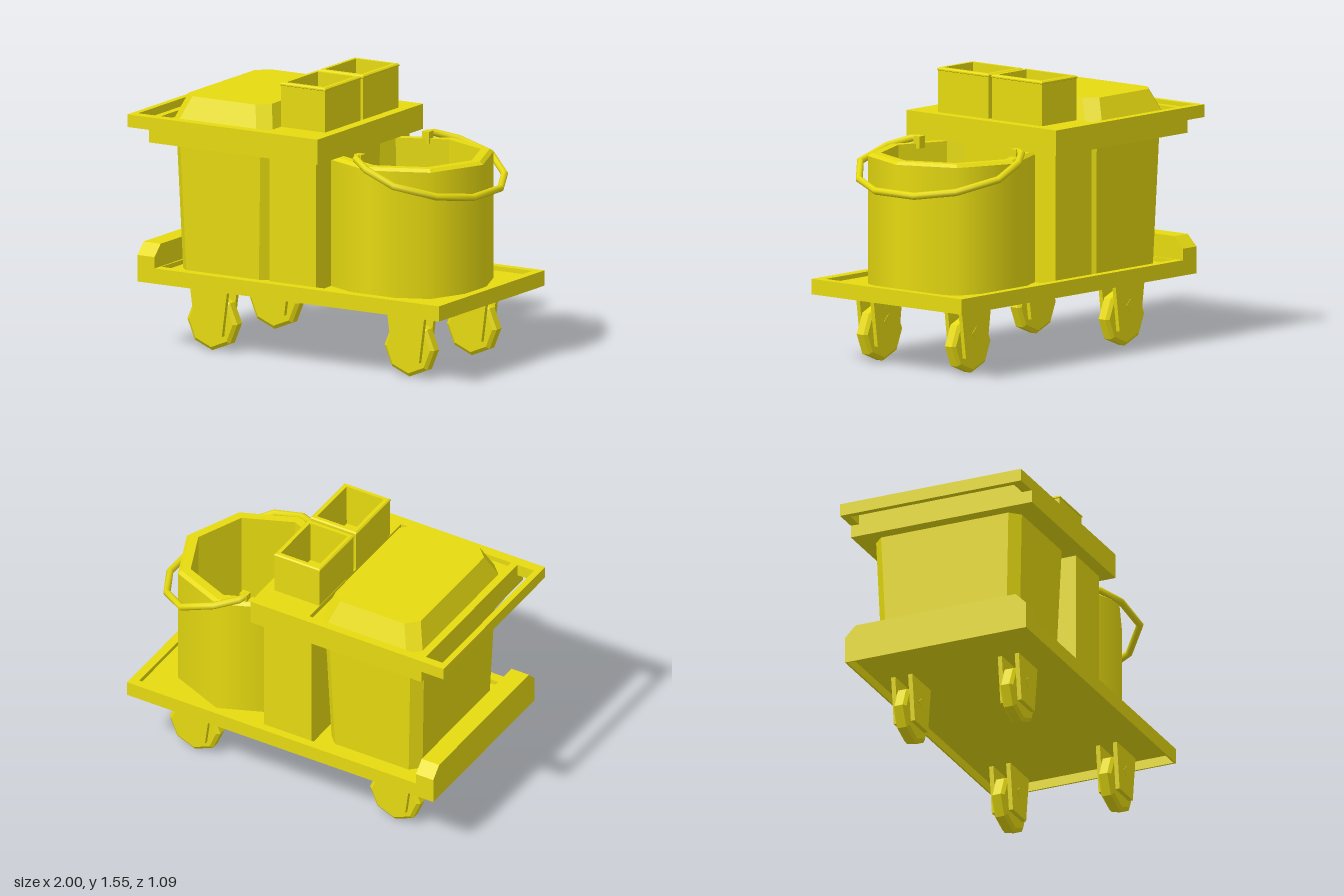
import * as THREE from 'three';

const yellow = new THREE.MeshStandardMaterial({ color: 0xe6da10 });
const HALF = 0.543; // half depth of tray and shelf

function add(parent, name, geometry) {
  const mesh = new THREE.Mesh(geometry, yellow);
  mesh.name = name;
  parent.add(mesh);
  return mesh;
}

function flat(geometry) {
  const g = geometry.index ? geometry.toNonIndexed() : geometry;
  g.computeVertexNormals();
  return g;
}

// Horizontal rectangle at height y, with optional cut corners
function ring(y, x0, x1, z0, z1, c = 0) {
  const pts = c
    ? [[x1, z0 + c], [x1, z1 - c], [x1 - c, z1], [x0 + c, z1], [x0, z1 - c], [x0, z0 + c], [x0 + c, z0], [x1 - c, z0]]
    : [[x1, z0], [x1, z1], [x0, z1], [x0, z0]];
  return pts.map(([x, z]) => [x, y, z]);
}

// Skin over successive rings, closed at the first and last
function loft(rings) {
  const pos = [], n = rings[0].length;
  const tri = (a, b, c) => pos.push(...a, ...b, ...c);
  for (let r = 0; r < rings.length - 1; r++) {
    for (let i = 0; i < n; i++) {
      const j = (i + 1) % n, lo = rings[r], hi = rings[r + 1];
      tri(lo[i], hi[i], hi[j]);
      tri(lo[i], hi[j], lo[j]);
    }
  }
  const first = rings[0], last = rings[rings.length - 1];
  for (let i = 1; i < n - 1; i++) {
    tri(first[0], first[i], first[i + 1]);
    tri(last[0], last[i + 1], last[i]);
  }
  const g = new THREE.BufferGeometry();
  g.setAttribute('position', new THREE.Float32BufferAttribute(pos, 3));
  g.computeVertexNormals();
  return g;
}

function box(x0, x1, y0, y1, z0, z1) {
  return loft([ring(y0, x0, x1, z0, z1), ring(y1, x0, x1, z0, z1)]);
}

function polygon(points, Type = THREE.Shape) {
  return new Type(points.map(([x, y]) => new THREE.Vector2(x, y)));
}

function rect(x0, x1, y0, y1, Type) {
  return polygon([[x0, y0], [x1, y0], [x1, y1], [x0, y1]], Type);
}

function lathe(points) {
  return new THREE.LatheGeometry(points.map(([x, y]) => new THREE.Vector2(x, y)), 8);
}

function caster() {
  const group = new THREE.Group();
  group.name = 'caster';
  const tyre = lathe([[0, -0.039], [0.14, -0.039], [0.16, -0.024], [0.16, 0.024], [0.14, 0.039], [0, 0.039]]);
  add(group, 'wheel', flat(tyre.rotateX(Math.PI / 2))).position.y = 0.16;
  const plate = polygon([[-0.085, 0.09], [0.085, 0.09], [0.12, 0.355], [-0.12, 0.355]]);
  for (const z of [-0.0635, 0.0385]) {
    add(group, 'bracket', new THREE.ExtrudeGeometry(plate, { depth: 0.025, bevelEnabled: false })).position.z = z;
  }
  const axle = new THREE.CylinderGeometry(0.035, 0.035, 0.132, 4).rotateX(Math.PI / 2);
  add(group, 'axle', flat(axle)).position.y = 0.225;
  return group;
}

export function createModel() {
  const cart = new THREE.Group();
  cart.name = 'cleaningCart';

  // Base tray: hollow underneath, shallow recess on top
  add(cart, 'tray', loft([
    ring(0.43, -0.925, 0.99, 0.01 - HALF, HALF - 0.01), ring(0.377, -0.925, 0.99, 0.01 - HALF, HALF - 0.01),
    ring(0.377, -0.935, 1, -HALF, HALF), ring(0.462, -0.935, 1, -HALF, HALF),
    ring(0.462, -0.815, 0.95, -0.495, 0.485), ring(0.437, -0.815, 0.95, -0.495, 0.485),
  ]));

  // Raised end bumper with cut corners
  const bumper = polygon([[-HALF, 0.45], [HALF, 0.45], [HALF, 0.525], [0.48, 0.588], [-0.48, 0.588], [-HALF, 0.525]]);
  add(cart, 'bumper', new THREE.ExtrudeGeometry(bumper, { depth: 0.11, bevelEnabled: false }).rotateY(Math.PI / 2))
    .position.x = -0.935;

  for (const x of [-0.575, 0.69]) {
    for (const z of [-0.315, 0.325]) {
      const c = caster();
      c.position.set(x, 0, z);
      cart.add(c);
    }
  }

  // Tapered waste bin and the upright cabinet beside it
  add(cart, 'wasteBin', loft([
    ring(0.435, -0.765, -0.19, -0.425, 0.4, 0.055), ring(1.17, -0.79, -0.165, -0.45, 0.425, 0.055),
  ]));
  add(cart, 'cabinet', box(-0.133, 0.165, 0.435, 1.17, -0.49, 0.47));

  // Top shelf: lower slab, upper frame with handle slot and lid recess
  add(cart, 'shelfBase', box(-0.86, 0.22, 1.16, 1.27, -HALF, HALF));
  const frame = rect(-1, 0.22, -HALF, HALF);
  frame.holes.push(rect(-0.965, -0.86, -0.485, 0.495, THREE.Path), rect(-0.82, -0.125, -0.485, 0.495, THREE.Path));
  add(cart, 'shelfFrame', new THREE.ExtrudeGeometry(frame, { depth: 0.07, bevelEnabled: false }).rotateX(-Math.PI / 2))
    .position.y = 1.23;

  add(cart, 'binLid', loft([
    ring(1.265, -0.797, -0.158, -0.488, 0.46, 0.065), ring(1.41, -0.745, -0.21, -0.42, 0.388, 0.065),
  ]));

  // Pair of open supply boxes with a small lip
  for (const z of [-0.205, 0.185]) {
    const r = (y, e) => ring(y, -0.124 - e, 0.159 + e, z - 0.182 - e, z + 0.182 + e);
    add(cart, 'supplyBox', loft([
      r(1.24, 0), r(1.53, 0), r(1.533, 0.004), r(1.54, 0.004), r(1.547, -0.004), r(1.547, -0.024), r(1.24, -0.026),
    ]));
  }

  // Eight-sided bucket: smooth outside, flat rim, faceted upright inside
  const bucket = new THREE.Group();
  bucket.name = 'bucket';
  bucket.position.set(0.478, 0, -0.012);
  cart.add(bucket);
  add(bucket, 'bucketWall', lathe([[0.457, 0.43], [0.457, 1.14]]));
  add(bucket, 'bucketInside', flat(lathe([
    [0.457, 1.14], [0.437, 1.157], [0.385, 1.157], [0.383, 0.48], [0, 0.48],
  ])));

  // Bent wire handle lying over the bucket, hooked on its rim
  const handle = new THREE.Group();
  handle.name = 'handle';
  handle.position.z = -0.02;
  cart.add(handle);
  const half = [[0.35, 1.182, 0.345], [0.365, 1.18, 0.4], [0.48, 1.145, 0.475],
    [0.67, 1.08, 0.5], [0.85, 1.015, 0.35], [0.955, 0.985, 0.14]];
  const path = [...half, ...half.map(([x, y, z]) => [x, y, -z]).reverse()];
  const curve = new THREE.CatmullRomCurve3(path.map(p => new THREE.Vector3(...p)), false, 'catmullrom', 0);
  curve.getPointAt = (t, v) => curve.getPoint(t, v);
  curve.getTangentAt = (t, v) => curve.getTangent(t, v);
  add(handle, 'handleWire', new THREE.TubeGeometry(curve, path.length - 1, 0.02, 8));
  for (const s of [-1, 1]) {
    add(handle, 'handleHook', box(0.335, 0.38, 1.13, 1.197, s * 0.35 - 0.022, s * 0.35 + 0.022));
  }

  return cart;
}
